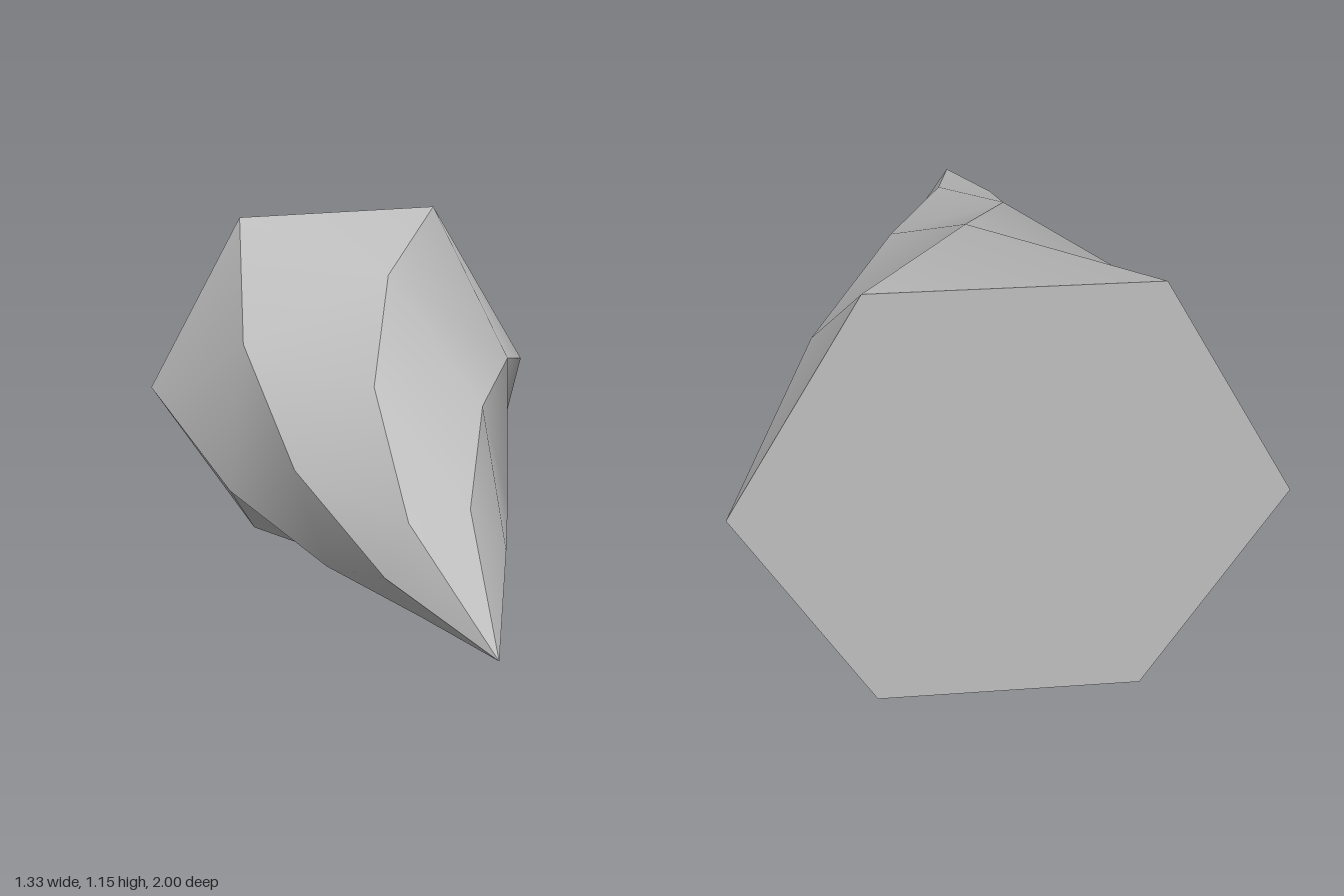
import * as THREE from 'three';

const SIDES = 6, STEPS = 4;
const RADIUS = 2 / 3, LENGTH = 2;
const TWIST = Math.PI / 2;
const CENTRE_Y = RADIUS * Math.sin(Math.PI / 3);

// Corner k of the hexagonal section at the given step (0 = base, STEPS = tip)
function corner(step, k) {
  const t = step / STEPS;
  const r = RADIUS * (1 - t);
  const a = (k / SIDES) * Math.PI * 2 + TWIST * t;
  return [r * Math.cos(a), r * Math.sin(a), -LENGTH / 2 + LENGTH * t];
}

// One spiral face running from a base edge to the tip, smooth along its length
function spiralFace(k) {
  const positions = [], index = [];
  for (let s = 0; s < STEPS; s++) {
    positions.push(...corner(s, k), ...corner(s, k + 1));
    const a = s * 2;
    index.push(a, a + 1, a + 2);
    if (s < STEPS - 1) index.push(a + 1, a + 3, a + 2);
  }
  positions.push(...corner(STEPS, k));
  const geometry = new THREE.BufferGeometry();
  geometry.setAttribute('position', new THREE.Float32BufferAttribute(positions, 3));
  geometry.setIndex(index);
  geometry.computeVertexNormals();
  return geometry;
}

export function createModel() {
  const model = new THREE.Group();
  model.name = 'twistedHexagonalCone';
  const grey = new THREE.MeshStandardMaterial({ color: 0xbfbfbf });
  grey.name = 'grey';

  // Six twisted side faces meeting at sharp ridges
  for (let k = 0; k < SIDES; k++) {
    const face = new THREE.Mesh(spiralFace(k), grey);
    face.name = `spiralFace${k + 1}`;
    face.position.y = CENTRE_Y;
    model.add(face);
  }

  // Flat hexagonal base facing backwards
  const base = new THREE.Mesh(new THREE.CircleGeometry(RADIUS, SIDES), grey);
  base.name = 'base';
  base.rotation.y = Math.PI;
  base.position.set(0, CENTRE_Y, -LENGTH / 2);
  model.add(base);

  return model;
}
